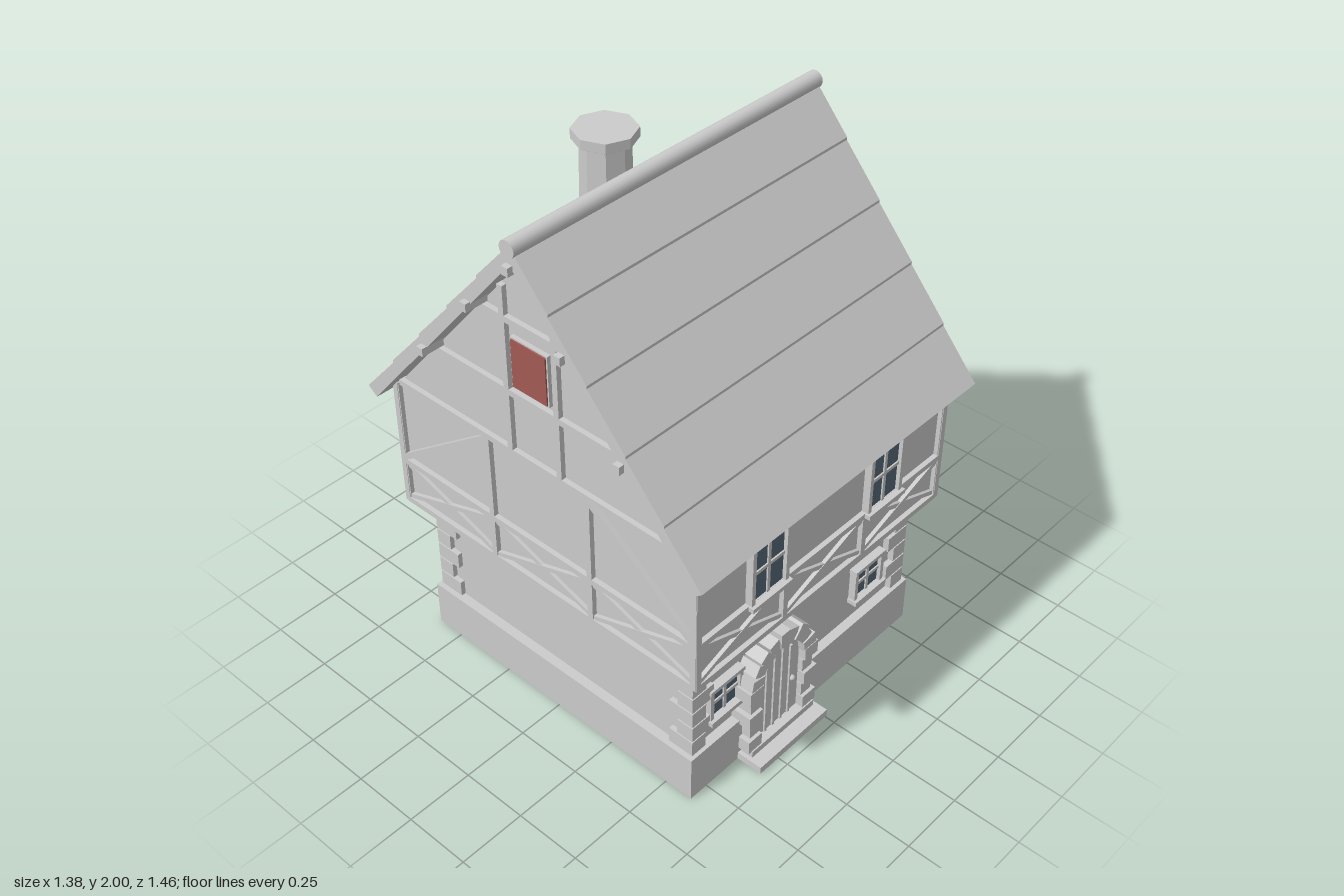
import * as THREE from 'three';

const mat = (name, color) => Object.assign(new THREE.MeshStandardMaterial({ color }), { name });

export function createModel() {
  const stone = mat('pale grey', 0xcccccc);
  const red = mat('shutter red', 0xa25a54);
  const glass = mat('window blue', 0x566878);
  const house = new THREE.Group();
  house.name = 'house';

  const add = (parent, name, geo, x = 0, y = 0, z = 0, m = stone) => {
    const mesh = new THREE.Mesh(geo, m);
    mesh.name = name;
    mesh.position.set(x, y, z);
    parent.add(mesh);
    return mesh;
  };
  const box = (parent, name, w, h, d, x, y, z, m) => add(parent, name, new THREE.BoxGeometry(w, h, d), x, y, z, m);
  const flat = (geo) => {
    const g = geo.toNonIndexed();
    g.computeVertexNormals();
    return g;
  };
  // Extrudes a (z, y) profile along x, centred
  const extrudeX = (pts, length) => {
    const shape = new THREE.Shape(pts.map(([a, b]) => new THREE.Vector2(a, b)));
    const g = new THREE.ExtrudeGeometry(shape, { depth: length, bevelEnabled: false });
    return g.translate(0, 0, -length / 2).rotateY(-Math.PI / 2);
  };
  // A group whose local +z points out of one wall
  const wall = (name, angle, dist) => {
    const g = new THREE.Group();
    g.name = name;
    g.rotation.y = angle;
    g.position.set(Math.sin(angle) * dist, 0, Math.cos(angle) * dist);
    house.add(g);
    return g;
  };
  // Timber lying on a wall, from one point to another
  const beam = (g, x1, y1, x2, y2, w = 0.022, out = 0.018) => {
    const b = box(g, 'timber', Math.hypot(x2 - x1, y2 - y1), w, out + 0.01, (x1 + x2) / 2, (y1 + y2) / 2, (out - 0.01) / 2);
    b.rotation.z = Math.atan2(y2 - y1, x2 - x1);
  };
  const shutter = (g, x, y, w, h) => {
    box(g, 'shutter', w, h, 0.012, x, y, 0.026, red);
    for (const s of [-1, 1]) box(g, 'shutterBand', w, 0.013, 0.004, x, y + s * h * 0.31, 0.033);
  };
  // Window with cross bars, frame, sill and optional shutters
  const windowAt = (g, x, y, w, h, head, shutterW = 0) => {
    box(g, 'glass', w, h, 0.009, x, y, 0.008, glass);
    box(g, 'mullion', 0.013, h, 0.012, x, y, 0.012);
    box(g, 'crossBar', w, 0.013, 0.012, x, y, 0.012);
    for (const s of [-1, 1]) {
      box(g, 'windowJamb', 0.016, h, 0.03, x + s * (w / 2 + 0.006), y, 0.012);
      if (shutterW) shutter(g, x + s * (w / 2 + 0.018 + shutterW / 2), y, shutterW, h - 0.005);
    }
    box(g, 'windowHead', w + 0.034, head, 0.034, x, y + h / 2 + head / 2, 0.014);
    box(g, 'windowSill', w + 0.04, 0.017, 0.042, x, y - h / 2 - 0.008, 0.018);
  };

  // Plinth, ground floor, upper storey with gables
  box(house, 'plinth', 1.15, 0.18, 1.22, 0, 0.09, 0);
  box(house, 'groundFloor', 1.08, 0.42, 1.15, 0, 0.38, 0);
  add(house, 'upperStorey', extrudeX([[-0.65, 0.58], [0.65, 0.58], [0.65, 1.08], [0, 1.855], [-0.65, 1.08]], 1.21));

  // Corner stones, alternating long and short
  for (const sx of [-1, 1]) for (const sz of [-1, 1]) for (let i = 0; i < 6; i++) {
    const w = i % 2 ? 0.1 : 0.065, d = i % 2 ? 0.065 : 0.1;
    box(house, 'cornerStone', w, 0.06, d, sx * (0.558 - w / 2), 0.213 + i * 0.066, sz * (0.598 - d / 2));
  }

  // Timber frame on the four upper walls
  const half = Math.PI / 2;
  const uppers = {
    front: wall('frontTimbers', 0, 0.65), back: wall('backTimbers', Math.PI, 0.65),
    left: wall('leftTimbers', half, 0.605), right: wall('rightTimbers', -half, 0.605),
  };
  for (const [side, g] of Object.entries(uppers)) {
    const long = side === 'left' || side === 'right';
    const e = long ? 0.655 : 0.61, p = long ? 0.22 : 0.2;
    beam(g, -e, 0.588, e, 0.588);
    beam(g, -e, 0.76, e, 0.76);
    const posts = [-e, -p, p, e];
    posts.forEach((x, i) => {
      const tall = i === 0 || i === 3 || side !== 'front';
      beam(g, x, 0.58, x, tall ? 1.09 : 0.76);
      if (i < 3) {
        beam(g, x, 0.6, posts[i + 1], 0.748, 0.017, 0.014);
        beam(g, x, 0.748, posts[i + 1], 0.6, 0.017, 0.012);
      }
    });
    if (side === 'right') for (const s of [-1, 1]) beam(g, s * e, 0.77, s * p, 1.09);
    if (side === 'back') beam(g, -e, 0.77, -p, 1.06);
    // Gable timbers and hatch
    if (long) {
      beam(g, -0.63, 1.1, 0.63, 1.1);
      beam(g, -0.43, 1.335, 0.43, 1.335);
      beam(g, -0.21, 1.605, 0.21, 1.605);
      for (const s of [-1, 1]) beam(g, s * 0.107, 1.1, s * 0.107, 1.72);
      box(g, 'hatchFrame', 0.156, 0.186, 0.02, 0, 1.458, 0.005);
      box(g, 'hatch', 0.145, 0.175, 0.012, 0, 1.458, 0.014, red);
    }
  }

  // Windows
  for (const s of [-1, 1]) {
    windowAt(uppers.front, s * 0.29, 0.885, 0.15, 0.23, 0.035);
    windowAt(uppers.left, s * 0.295, 0.885, 0.172, 0.215, 0.016, 0.075);
  }
  const lowerFront = wall('lowerFront', 0, 0.575), lowerLeft = wall('lowerLeft', half, 0.54);
  windowAt(lowerFront, -0.395, 0.34, 0.13, 0.12, 0.015);
  windowAt(lowerFront, 0.352, 0.34, 0.13, 0.12, 0.015);
  for (const s of [-1, 1]) windowAt(lowerLeft, s * 0.307, 0.338, 0.14, 0.122, 0.015, 0.058);

  // Wedge brackets under the overhanging storey
  const bracketGeo = extrudeX([[-0.01, 0.52], [0.025, 0.52], [0.07, 0.565], [0.07, 0.582], [-0.01, 0.582]], 0.045);
  for (const [angle, dist, spots] of [[0, 0.575, [-0.48, -0.16, 0.16, 0.48]], [Math.PI, 0.575, [-0.48, -0.16, 0.16, 0.48]],
    [half, 0.54, [-0.44, 0, 0.44]], [-half, 0.54, [-0.44, 0, 0.44]]]) {
    const g = wall('brackets', angle, dist);
    for (const x of spots) add(g, 'bracket', bracketGeo, x);
  }

  // Roof with overlapping rows, ridge and purlin ends
  const slope = [];
  const lineY = (z) => 1.055 + 1.19 * (0.73 - z);
  for (let k = 0; k < 5; k++) {
    const z0 = 0.73 - 0.146 * k, z1 = z0 - 0.146;
    slope.push([z0, lineY(z0) + 0.01], [z1, lineY(z1)]);
  }
  const mirrored = slope.slice(0, -1).reverse().map(([z, y]) => [-z, y]);
  add(house, 'roof', extrudeX([[0, 1.86], [0.692, 1.036], ...slope, ...mirrored, [-0.692, 1.036]], 1.345));
  add(house, 'ridge', new THREE.CylinderGeometry(0.03, 0.03, 1.36, 16).rotateZ(half), 0, 1.915, 0);
  for (const [z, y] of [[0, 1.848], [0.195, 1.636], [-0.195, 1.636], [0.418, 1.365], [-0.418, 1.365]])
    box(house, 'purlin', 1.385, 0.03, 0.026, 0, y, z);

  // Chimney
  const oct = (r1, r2, h) => flat(new THREE.CylinderGeometry(r1, r2, h, 8));
  add(house, 'chimneyShaft', oct(0.08, 0.088, 0.45), -0.11, 1.755, -0.17);
  add(house, 'chimneyNeck', oct(0.105, 0.082, 0.015), -0.11, 1.96, -0.17);
  add(house, 'chimneyCap', oct(0.105, 0.105, 0.034), -0.11, 1.983, -0.17);
  box(house, 'chimneyFlashing', 0.195, 0.03, 0.024, -0.11, 1.635, -0.255);

  // Arched door with strips, knob, stone surround and steps
  const door = new THREE.Group();
  door.name = 'door';
  door.position.set(-0.167, 0, 0);
  house.add(door);
  const arch = new THREE.Shape();
  arch.moveTo(-0.115, 0.04);
  arch.lineTo(0.115, 0.04);
  arch.lineTo(0.115, 0.325);
  arch.absarc(0, 0.325, 0.115, 0, Math.PI);
  add(door, 'doorPanel', new THREE.ExtrudeGeometry(arch, { depth: 0.055, bevelEnabled: false, curveSegments: 16 }), 0, 0, 0.57);
  for (const x of [-0.06, -0.02, 0.02, 0.06]) box(door, 'doorStrip', 0.01, 0.36 - Math.abs(x) * 0.7, 0.008, x, 0.235 - Math.abs(x) * 0.35, 0.628);
  add(door, 'knob', new THREE.SphereGeometry(0.011, 12, 8), 0.068, 0.215, 0.634);
  for (const s of [-1, 1]) for (let i = 0; i < 5; i++) {
    const w = i % 2 ? 0.05 : 0.065, d = i % 2 ? 0.08 : 0.09;
    box(door, 'jambStone', w, 0.053, d, s * (0.107 + w / 2), 0.077 + i * 0.057, 0.565 + d / 2);
  }
  for (let i = 0; i < 9; i++) {
    const a = (i + 0.5) * Math.PI / 9, long = i % 2 ? 0.05 : 0.06;
    const b = box(door, 'archStone', long, 0.045, i % 2 ? 0.08 : 0.09, Math.cos(a) * (0.103 + long / 2), 0.326 + Math.sin(a) * (0.103 + long / 2), 0.608);
    b.rotation.z = a;
  }
  box(door, 'lowerStep', 0.35, 0.028, 0.13, 0, 0.014, 0.645);
  box(door, 'upperStep', 0.32, 0.026, 0.09, 0, 0.04, 0.615);

  // Bench
  box(house, 'benchSeat', 0.075, 0.016, 0.27, 0.603, 0.092, 0.155);
  for (const z of [0.045, 0.265]) box(house, 'benchLeg', 0.06, 0.085, 0.015, 0.603, 0.0425, z);

  // Barrel with hoops
  const profile = [[0, 0], [0.052, 0], [0.06, 0.045], [0.063, 0.092], [0.06, 0.14], [0.052, 0.185], [0.047, 0.185], [0.047, 0.177], [0, 0.177]];
  add(house, 'barrel', new THREE.LatheGeometry(profile.map(([r, y]) => new THREE.Vector2(r, y)), 18), 0.627, 0, -0.295);
  for (const [y, r] of [[0.025, 0.0585], [0.06, 0.0635], [0.125, 0.0635], [0.16, 0.0585]])
    add(house, 'barrelHoop', new THREE.CylinderGeometry(r, r, 0.012, 18, 1), 0.627, y, -0.295);

  return house;
}
